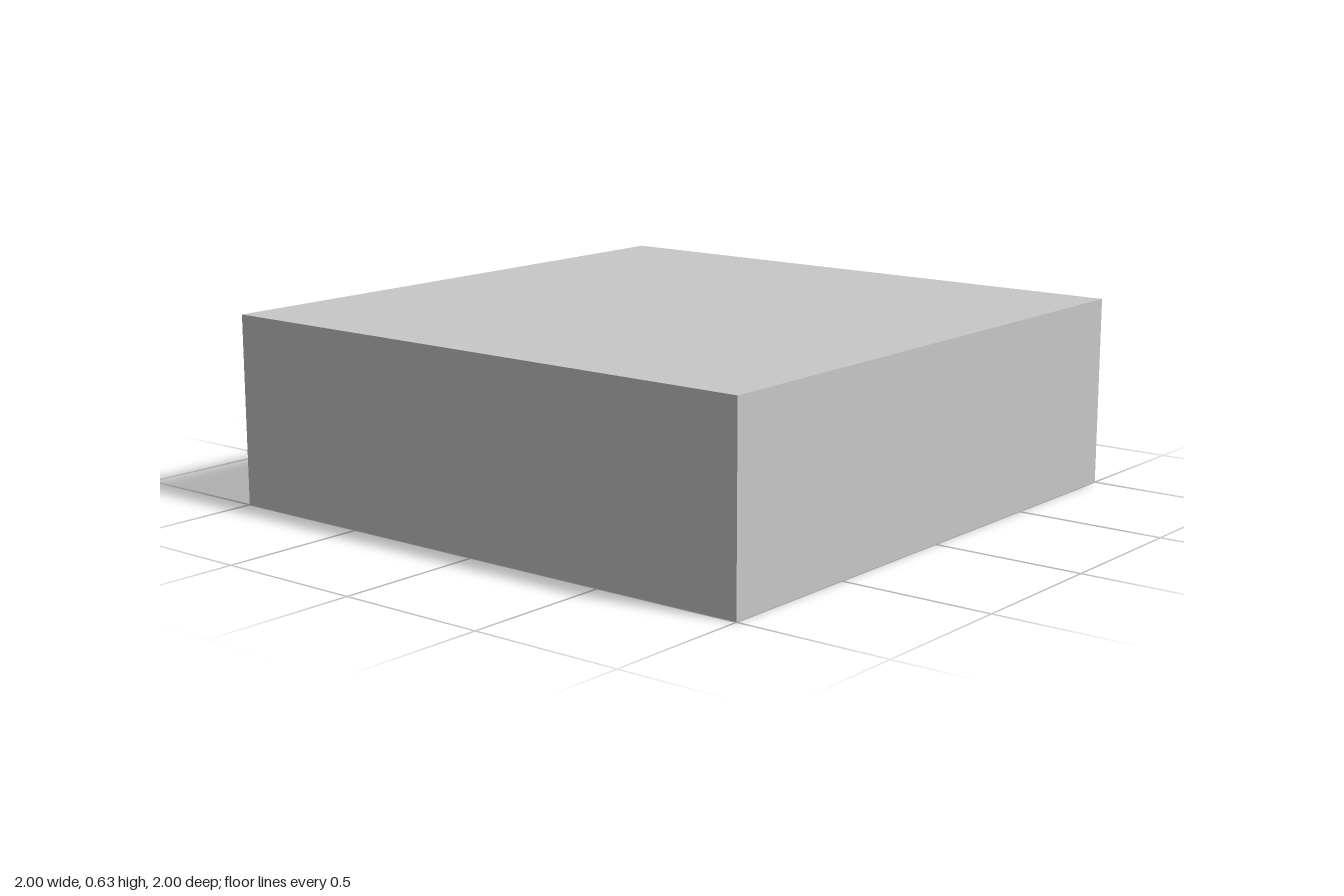
import * as THREE from 'three';
import { toCreasedNormals } from 'three/addons/utils/BufferGeometryUtils.js';

const SIZE = 2, HEIGHT = 0.63;
const PITCH = 0.507;          // pocket centre offset in x and z
const MOUTH = 0.336, BORE = 0.305, CHAMFER = 0.031, DEPTH = 0.264;
const SEGMENTS = 64;

export function createModel() {
  const model = new THREE.Group();
  model.name = 'block';
  const grey = new THREE.MeshStandardMaterial({ color: 0xc8c8c8 });
  grey.name = 'grey';

  const add = (parent, name, geometry) => {
    const mesh = new THREE.Mesh(geometry, grey);
    mesh.name = name;
    parent.add(mesh);
    return mesh;
  };

  // Top and four sides: a box without its bottom face
  const shell = new THREE.BoxGeometry(SIZE, HEIGHT, SIZE);
  const index = Array.from(shell.index.array);
  index.splice(18, 6);
  shell.setIndex(index);
  shell.clearGroups();
  shell.translate(0, HEIGHT / 2, 0);
  add(model, 'shell', shell);

  // Underside with four round openings
  const h = SIZE / 2;
  const outline = new THREE.Shape([
    new THREE.Vector2(-h, -h), new THREE.Vector2(h, -h),
    new THREE.Vector2(h, h), new THREE.Vector2(-h, h),
  ]);
  const centres = [-PITCH, PITCH].flatMap(x => [-PITCH, PITCH].map(z => [x, z]));
  for (const [x, z] of centres) {
    outline.holes.push(new THREE.Path().absarc(x, z, MOUTH, 0, Math.PI * 2, true));
  }
  add(model, 'underside', new THREE.ShapeGeometry(outline, SEGMENTS).rotateX(Math.PI / 2));

  // Pocket wall runs down the bore and out along the chamfer, facing inwards
  const wall = toCreasedNormals(new THREE.LatheGeometry([
    new THREE.Vector2(BORE, DEPTH),
    new THREE.Vector2(BORE, CHAMFER),
    new THREE.Vector2(MOUTH, 0),
  ], SEGMENTS), 0.5);
  const ceiling = new THREE.CircleGeometry(BORE, SEGMENTS).rotateX(Math.PI / 2).translate(0, DEPTH, 0);

  for (const [x, z] of centres) {
    const pocket = new THREE.Group();
    pocket.name = 'pocket';
    pocket.position.set(x, 0, z);
    add(pocket, 'pocketWall', wall);
    add(pocket, 'pocketCeiling', ceiling);
    model.add(pocket);
  }
  return model;
}
